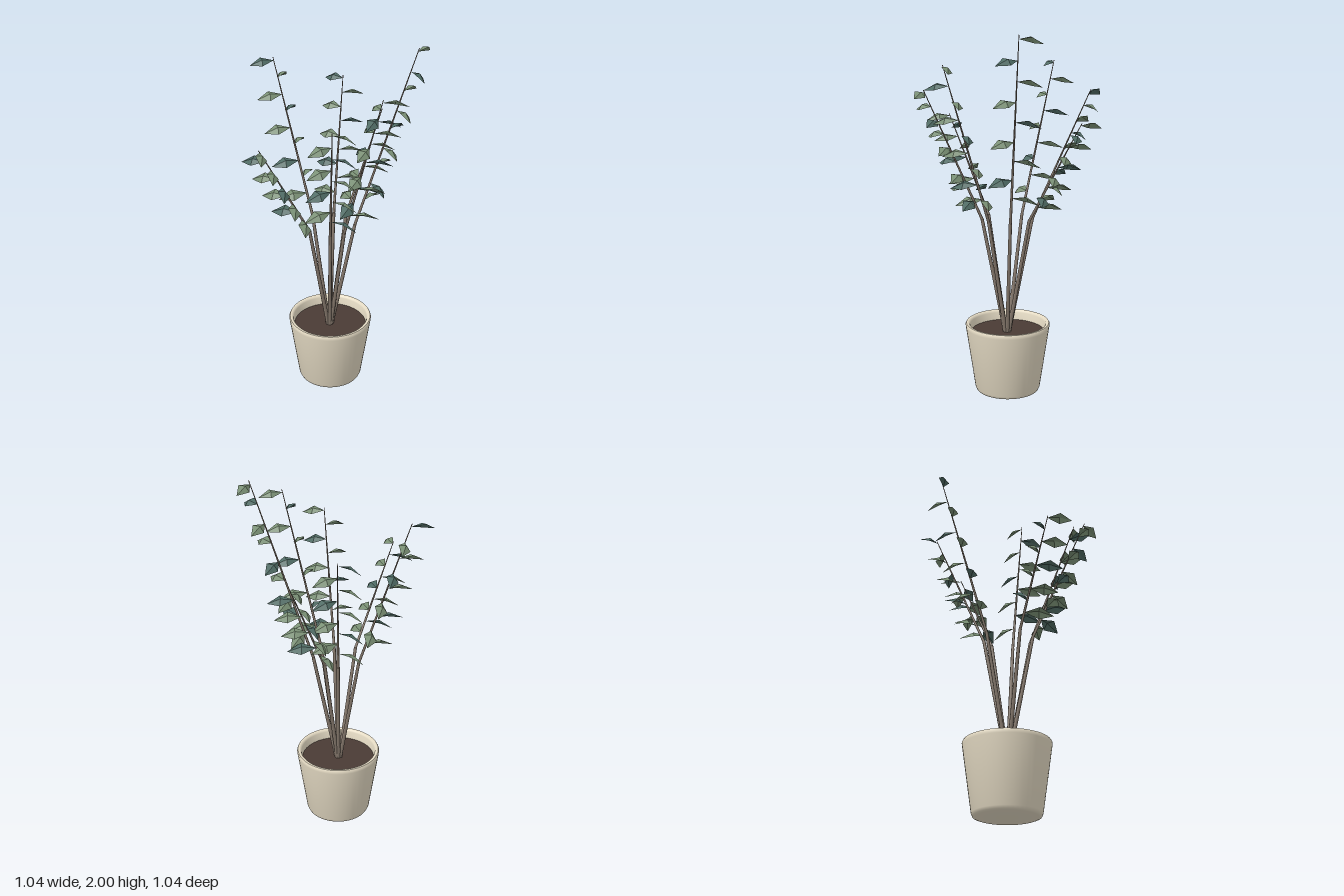
import * as THREE from 'three';
import { toCreasedNormals } from 'three/addons/utils/BufferGeometryUtils.js';

const mat = (name, color, extra = {}) => {
  const m = new THREE.MeshStandardMaterial({ color, ...extra });
  m.name = name;
  return m;
};

// Kite-shaped leaf pointing along +z, arched and folded on its midrib, unit length
function leafGeometry() {
  const root = [0, 0, 0], mid = [0, 0.08, 0.5], tip = [0, -0.2, 1];
  const a = [0.25, -0.03, 0.52], b = [-0.25, -0.03, 0.52];
  const faces = [root, mid, a, mid, tip, a, root, b, mid, mid, b, tip];
  const g = new THREE.BufferGeometry();
  g.setAttribute('position', new THREE.Float32BufferAttribute(faces.flat(), 3));
  g.computeVertexNormals();
  return g;
}

// Tapered rod between two points
function rod(name, p, q, r0, r1, material) {
  const d = q.clone().sub(p);
  const m = new THREE.Mesh(new THREE.CylinderGeometry(r1, r0, d.length(), 8), material);
  m.name = name;
  m.position.copy(p).addScaledVector(d, 0.5);
  m.quaternion.setFromUnitVectors(new THREE.Vector3(0, 1, 0), d.normalize());
  return m;
}

export function createModel() {
  const potMat = mat('potCream', 0xe6dcc5);
  const soilMat = mat('soilBrown', 0x4a3b35);
  const stemMat = mat('stemBrown', 0x85786c);
  const sageMat = mat('leafSage', 0x7a9075, { flatShading: true, side: THREE.DoubleSide });
  const tealMat = mat('leafTeal', 0x506c65, { flatShading: true, side: THREE.DoubleSide });
  const model = new THREE.Group();
  model.name = 'pottedPlant';

  // Pot: tapered wall with rounded foot and lip
  const profile = [
    [0, 0], [0.165, 0], [0.178, 0.005], [0.185, 0.02], [0.237, 0.375], [0.239, 0.39],
    [0.234, 0.399], [0.226, 0.4], [0.217, 0.396], [0.213, 0.385], [0.207, 0.325],
  ].map(([x, y]) => new THREE.Vector2(x, y));
  const pot = new THREE.Mesh(toCreasedNormals(new THREE.LatheGeometry(profile, 48), 0.9), potMat);
  pot.name = 'pot';
  pot.position.x = 0.004;
  model.add(pot);

  const soil = new THREE.Mesh(new THREE.CylinderGeometry(0.21, 0.208, 0.015, 48), soilMat);
  soil.name = 'soil';
  soil.position.set(0.004, 0.335, 0);
  model.add(soil);

  // Stems: outward angle in degrees, tip height, first teal leaf of every three
  const stems = [
    [85, 1.85, 0], [32, 1.71, 0], [0.6, 1.55, 1], [-51, 2.0, 1],
    [-104, 1.85, 1], [-137, 1.71, 2], [169.5, 1.55, 1],
  ];
  const leafGeo = leafGeometry();

  stems.forEach(([deg, top, firstTeal]) => {
    const angle = THREE.MathUtils.degToRad(deg);
    const at = (r, y) => new THREE.Vector3(r * Math.cos(angle), y, -r * Math.sin(angle));
    const base = at(0.01, 0.335), bend = at(0.14, 1.0), tip = at(0.45, top);

    const stem = new THREE.Group();
    stem.name = 'stem';
    stem.add(
      rod('lowerStem', base, bend, 0.012, 0.009, stemMat),
      rod('upperStem', bend, tip, 0.008, 0.002, stemMat),
    );

    // Leaves alternate sides, all rolled the same way, growing longer downward
    for (let i = 0; i < 9; i++) {
      const leaf = new THREE.Mesh(leafGeo, i % 3 === firstTeal ? tealMat : sageMat);
      leaf.name = 'leaf';
      leaf.position.lerpVectors(bend, tip, 0.98 - i * 0.104);
      const side = i % 2 ? -1 : 1;
      leaf.rotation.set(0, angle + Math.PI / 2 + side * Math.PI / 3 + 0.08, -0.52);
      leaf.scale.setScalar(0.132 + i * 0.0035);
      stem.add(leaf);
    }
    model.add(stem);
  });
  return model;
}
